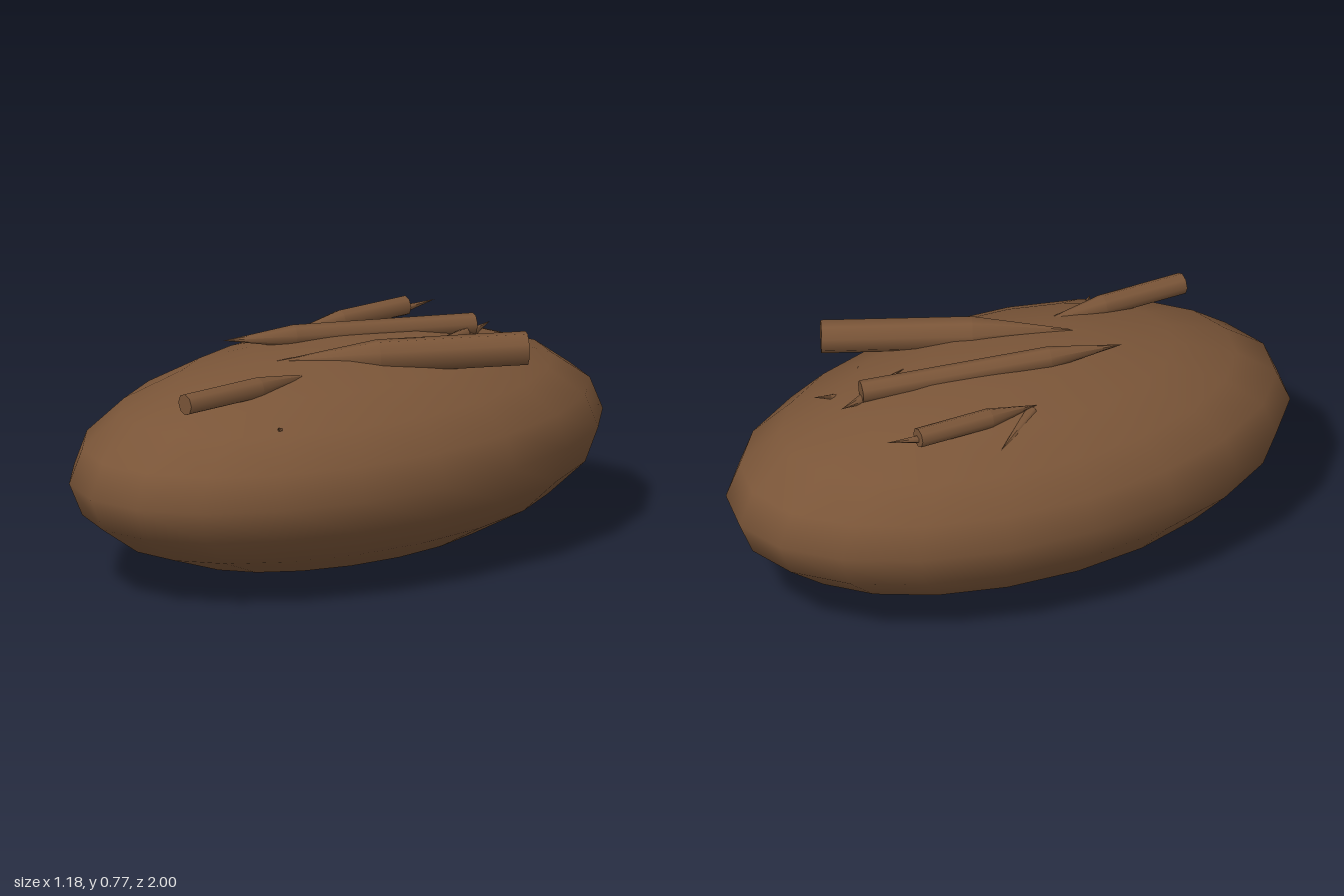
import * as THREE from 'three';

const bark = new THREE.MeshStandardMaterial({ color: 0x7a5538 });
bark.name = 'barkBrown';

// Sharpened stick: straight shaft from a flat butt, then a cone to the tip
function stick(name, butt, tip, radius, shaftFraction, sides = 8) {
  const a = new THREE.Vector3(...butt), b = new THREE.Vector3(...tip);
  const length = a.distanceTo(b), shaft = length * shaftFraction;
  const group = new THREE.Group();
  group.name = name;

  const body = new THREE.Mesh(new THREE.CylinderGeometry(radius, radius, shaft, sides), bark);
  body.name = name + 'Shaft';
  body.position.y = shaft / 2;

  const point = new THREE.Mesh(new THREE.ConeGeometry(radius, length - shaft, sides, 1, true), bark);
  point.name = name + 'Point';
  point.position.y = (length + shaft) / 2;

  group.add(body, point);
  group.position.copy(a);
  group.quaternion.setFromUnitVectors(new THREE.Vector3(0, 1, 0), b.sub(a).normalize());
  return group;
}

// Small splinter: a thin cone from its base to its tip
function splinter(name, base, tip, radius) {
  const a = new THREE.Vector3(...base), b = new THREE.Vector3(...tip);
  const mesh = new THREE.Mesh(new THREE.ConeGeometry(radius, a.distanceTo(b), 6), bark);
  mesh.name = name;
  mesh.position.copy(a).add(b).multiplyScalar(0.5);
  mesh.quaternion.setFromUnitVectors(new THREE.Vector3(0, 1, 0), b.sub(a).normalize());
  return mesh;
}

export function createModel() {
  const model = new THREE.Group();
  model.name = 'moundWithSticks';

  // Rounded mound
  const geometry = new THREE.SphereGeometry(1, 20, 10);
  geometry.scale(0.59, 0.365, 1);
  const mound = new THREE.Mesh(geometry, bark);
  mound.name = 'mound';
  mound.position.y = 0.366;
  model.add(mound);

  // Sticks lying on top
  model.add(
    stick('frontStick', [0.167, 0.683, 0.74], [0.167, 0.69, 0.2], 0.036, 0.55),
    stick('thickStick', [0.405, 0.713, -0.475], [0.03, 0.712, 0.29], 0.056, 0.58),
    stick('longStick', [0.06, 0.703, -0.515], [-0.16, 0.748, 0.34], 0.037, 0.72),
    stick('leftStick', [-0.265, 0.693, -0.48], [-0.27, 0.69, -0.04], 0.033, 0.6)
  );

  // Splinters poking out of the surface
  const splinters = [
    [[-0.262, 0.68, -0.44], [-0.25, 0.698, -0.59], 0.018],
    [[0.16, 0.63, -0.52], [0.155, 0.665, -0.64], 0.016],
    [[0.07, 0.67, -0.48], [0.02, 0.685, -0.61], 0.022],
    [[-0.27, 0.67, -0.06], [-0.39, 0.64, -0.24], 0.024],
    [[0.08, 0.685, -0.47], [0.12, 0.7, -0.32], 0.018],
    [[0.31, 0.62, -0.37], [0.26, 0.653, -0.42], 0.015],
    [[0.33, 0.57, 0.46], [0.355, 0.605, 0.5], 0.025]
  ];
  splinters.forEach(([base, tip, r], i) => model.add(splinter('splinter' + (i + 1), base, tip, r)));

  return model;
}
